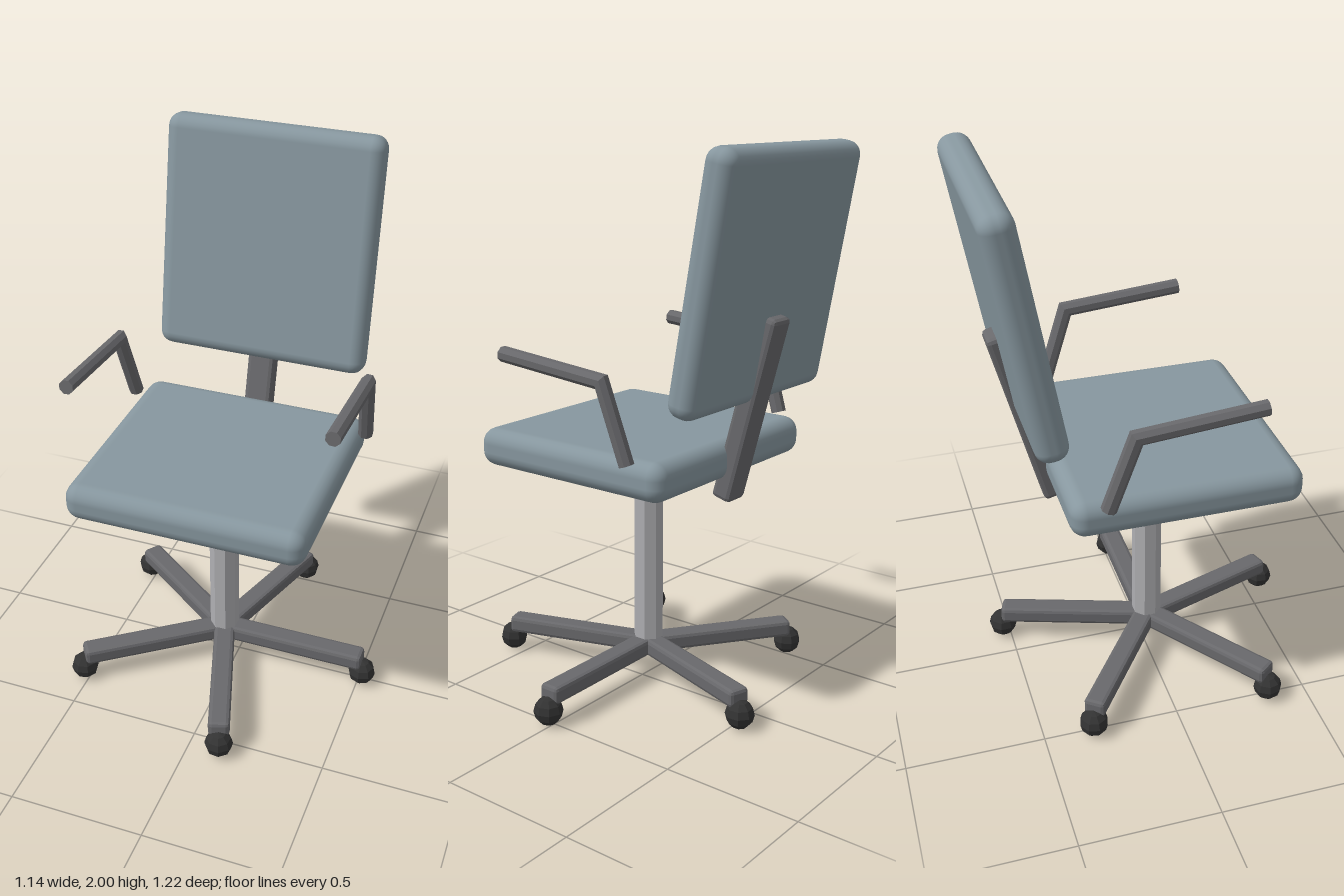
import * as THREE from 'three';
import { RoundedBoxGeometry } from 'three/addons/geometries/RoundedBoxGeometry.js';

const CX = -0.057; // axis of the seat and column
const CZ = 0.015;

function material(name, color) {
  const m = new THREE.MeshStandardMaterial({ color });
  m.name = name;
  return m;
}

function faceted(geometry) {
  const g = geometry.index ? geometry.toNonIndexed() : geometry;
  g.computeVertexNormals();
  return g;
}

function add(parent, name, geometry, mat, x = 0, y = 0, z = 0) {
  const mesh = new THREE.Mesh(geometry, mat);
  mesh.name = name;
  mesh.position.set(x, y, z);
  parent.add(mesh);
  return mesh;
}

// Eight-sided bar along a bent path, with a mitred joint at each bend
function mitredBar(points, radius, sides = 8) {
  const dirs = points.slice(1).map((p, i) => p.clone().sub(points[i]).normalize());
  const offset = new THREE.Vector3();
  const side = new THREE.Vector3(1, 0, 0).addScaledVector(dirs[0], -dirs[0].x).normalize();
  const up = new THREE.Vector3().crossVectors(dirs[0], side);
  const pos = [], index = [];
  points.forEach((p, i) => {
    const before = dirs[Math.max(i - 1, 0)];
    const after = dirs[Math.min(i, dirs.length - 1)];
    const normal = before.clone().add(after).normalize();
    for (let k = 0; k < sides; k++) {
      const a = ((k + 0.5) / sides) * Math.PI * 2;
      // carry the previous ring along the bar onto this joint's plane
      if (i === 0) offset.copy(side).multiplyScalar(Math.cos(a) * radius).addScaledVector(up, Math.sin(a) * radius).add(p);
      else offset.fromArray(pos, ((i - 1) * sides + k) * 3);
      const t = p.clone().sub(offset).dot(normal) / before.dot(normal);
      offset.addScaledVector(before, t);
      pos.push(offset.x, offset.y, offset.z);
      if (i > 0) {
        const n = (k + 1) % sides, lo = (i - 1) * sides, hi = i * sides;
        index.push(lo + k, lo + n, hi + n, lo + k, hi + n, hi + k);
      }
    }
  });
  const last = (points.length - 1) * sides;
  for (let k = 1; k < sides - 1; k++) {
    index.push(0, k + 1, k, last, last + k, last + k + 1);
  }
  const g = new THREE.BufferGeometry();
  g.setAttribute('position', new THREE.Float32BufferAttribute(pos, 3));
  g.setIndex(index);
  return faceted(g);
}

export function createModel() {
  const chair = new THREE.Group();
  chair.name = 'officeChair';
  const fabric = material('blueGreyFabric', 0x87979f);
  const frame = material('darkGreyFrame', 0x69696c);
  const steel = material('lightSteel', 0xafafb2);
  const rubber = material('blackRubber', 0x333333);

  // Cushions
  add(chair, 'seat', new RoundedBoxGeometry(0.885, 0.14, 0.828, 3, 0.055), fabric, CX, 0.91, 0.043);
  const back = add(chair, 'backrest', new RoundedBoxGeometry(0.815, 0.88, 0.117, 3, 0.05), fabric, CX, 1.565, -0.482);
  back.rotation.x = -THREE.MathUtils.degToRad(10);

  // Bar that carries the backrest
  const bar = add(chair, 'backSupport', faceted(new RoundedBoxGeometry(0.104, 0.69, 0.078, 1, 0.016)), frame, CX, 1.1, -0.428);
  bar.rotation.x = -THREE.MathUtils.degToRad(15);

  // Column
  const column = faceted(new THREE.CylinderGeometry(0.056, 0.056, 0.76, 8));
  column.rotateY(Math.PI / 8);
  add(chair, 'column', column, steel, CX, 0.48, CZ);

  // Armrests, mirrored about the seat axis
  for (const s of [1, -1]) {
    const path = [[0.462, 0.972, -0.254], [0.479, 1.243, -0.164], [0.479, 1.281, 0.28]]
      .map(([x, y, z]) => new THREE.Vector3(CX + s * x, y, z));
    add(chair, s > 0 ? 'leftArmrest' : 'rightArmrest', mitredBar(path, 0.028), frame);
  }

  // Five-legged base with casters
  const legGeometry = faceted(new RoundedBoxGeometry(0.57, 0.064, 0.08, 1, 0.014));
  const casterGeometry = faceted(new THREE.SphereGeometry(0.053, 8, 6));
  for (let i = 0; i < 5; i++) {
    const leg = new THREE.Group();
    leg.name = 'baseLeg' + (i + 1);
    leg.position.set(CX, 0, CZ);
    leg.rotation.y = (i / 5) * Math.PI * 2;
    add(leg, 'legBar', legGeometry, frame, 0.285, 0.112, 0);
    add(leg, 'caster', casterGeometry, rubber, 0.57, 0.053, 0);
    chair.add(leg);
  }
  return chair;
}
